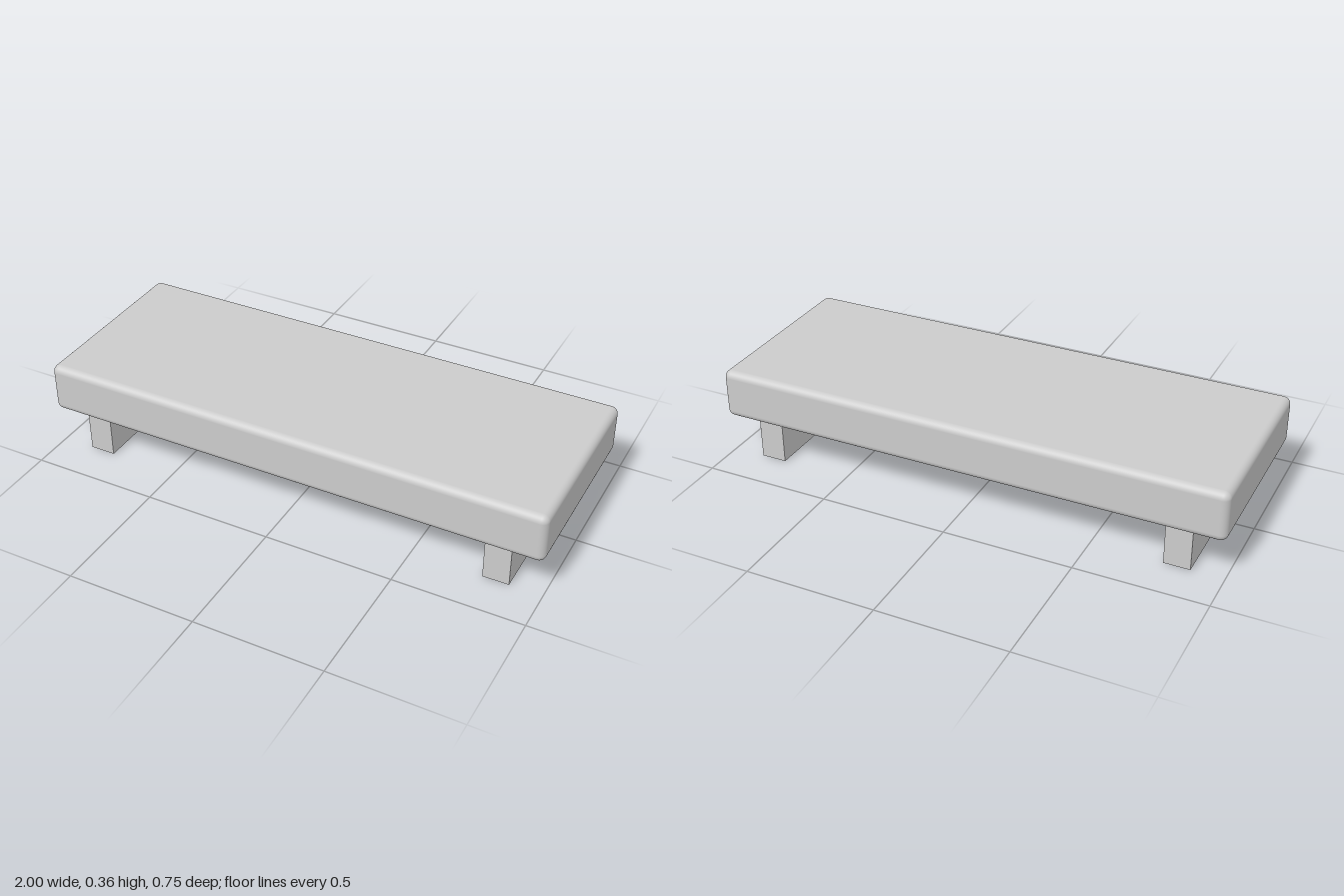
import * as THREE from 'three';
import { RoundedBoxGeometry } from 'three/addons/geometries/RoundedBoxGeometry.js';

const WIDTH = 2, DEPTH = 0.747;
const LEG_HEIGHT = 0.167, SLAB_HEIGHT = 0.194;

export function createModel() {
  const group = new THREE.Group();
  group.name = 'lowBench';
  const material = new THREE.MeshStandardMaterial({ color: 0xcccccc });

  // Thick slab with softly rounded edges
  const slab = new THREE.Mesh(
    new RoundedBoxGeometry(WIDTH, SLAB_HEIGHT, DEPTH, 6, 0.028), material);
  slab.name = 'slab';
  slab.position.y = LEG_HEIGHT + SLAB_HEIGHT / 2;
  group.add(slab);

  // Plain sharp-edged runner under each end
  const legGeometry = new THREE.BoxGeometry(0.1, LEG_HEIGHT, 0.673);
  for (const [name, side] of [['leftLeg', 1], ['rightLeg', -1]]) {
    const leg = new THREE.Mesh(legGeometry, material);
    leg.name = name;
    leg.position.set(side * 0.825, LEG_HEIGHT / 2, 0);
    group.add(leg);
  }
  return group;
}
